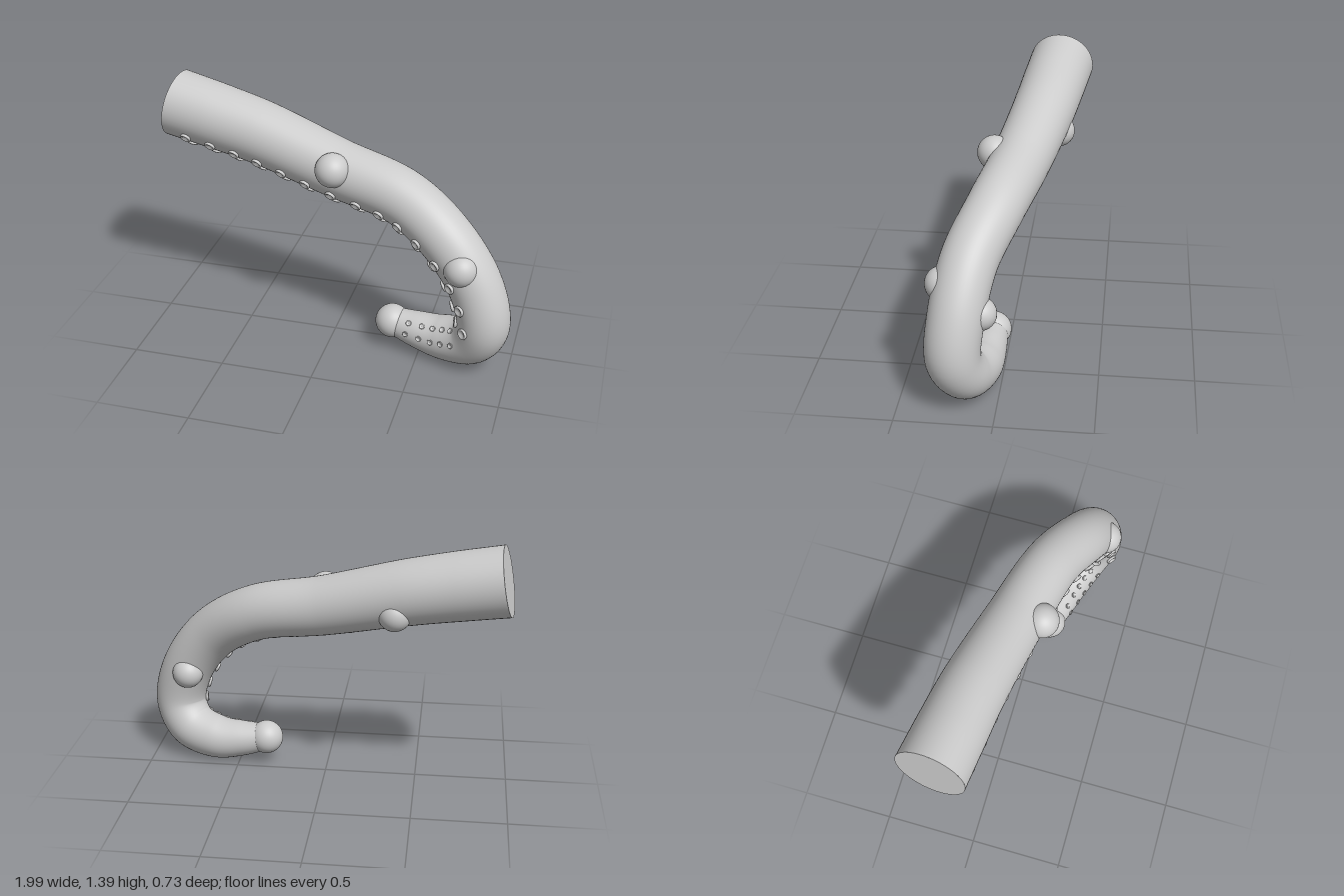
import * as THREE from 'three';

// Centreline stations: x, y, z, radius
const STATIONS = [
  [-0.95, 1.207, -0.183, 0.185],
  [-0.72, 1.165, -0.155, 0.181],
  [-0.45, 1.11, -0.12, 0.174],
  [0.0, 0.992, -0.035, 0.159],
  [0.39, 0.903, 0.055, 0.151],
  [0.65, 0.735, 0.155, 0.147],
  [0.81, 0.51, 0.2, 0.144],
  [0.858, 0.3, 0.212, 0.141],
  [0.79, 0.173, 0.165, 0.135],
  [0.63, 0.125, 0.11, 0.122],
  [0.48, 0.135, 0.085, 0.1],
  [0.36, 0.155, 0.07, 0.078],
];
const curve = new THREE.CatmullRomCurve3(STATIONS.map(([x, y, z]) => new THREE.Vector3(x, y, z)));
const FRONT = new THREE.Vector3(0, 0, 1);

// Position, radius and cross-section axes at curve parameter t
function frameAt(t) {
  const f = t * (STATIONS.length - 1);
  const i = Math.min(Math.floor(f), STATIONS.length - 2);
  const radius = THREE.MathUtils.lerp(STATIONS[i][3], STATIONS[i + 1][3], f - i);
  const tangent = curve.getTangent(t);
  const inner = new THREE.Vector3().crossVectors(tangent, FRONT).normalize();
  const side = new THREE.Vector3().crossVectors(inner, tangent).normalize();
  return { center: curve.getPoint(t), radius, tangent, inner, side };
}

// Outward direction, turned by angle from the inside of the curl to the front
function outward(frame, angle) {
  return frame.inner.clone().multiplyScalar(Math.cos(angle))
    .addScaledVector(frame.side, Math.sin(angle));
}

// Tapered limb swept along the centreline
function limbGeometry(rings, sides) {
  const pos = [], index = [];
  for (let i = 0; i <= rings; i++) {
    const f = frameAt(curve.getUtoTmapping(i / rings));
    for (let j = 0; j < sides; j++) {
      const p = outward(f, (j / sides) * Math.PI * 2).multiplyScalar(f.radius).add(f.center);
      pos.push(p.x, p.y, p.z);
      if (i < rings) {
        const a = i * sides + j, b = i * sides + (j + 1) % sides;
        index.push(a, a + sides, b, b, a + sides, b + sides);
      }
    }
  }
  const g = new THREE.BufferGeometry();
  g.setAttribute('position', new THREE.Float32BufferAttribute(pos, 3));
  g.setIndex(index);
  g.computeVertexNormals();
  return g;
}

export function createModel() {
  const group = new THREE.Group();
  const mat = new THREE.MeshStandardMaterial({ color: 0xcccccc, side: THREE.DoubleSide });
  const add = (name, geometry) => {
    const mesh = new THREE.Mesh(geometry, mat);
    mesh.name = name;
    group.add(mesh);
    return mesh;
  };

  add('limb', limbGeometry(140, 48));

  // Flat end at the thick root
  const root = frameAt(0);
  const cap = add('rootCap', new THREE.CircleGeometry(root.radius, 48));
  cap.position.copy(root.center);
  cap.quaternion.setFromUnitVectors(FRONT, root.tangent.clone().negate());

  // Round bumps on both sides, and the ball at the tip
  const ball = new THREE.SphereGeometry(1, 32, 24);
  const balls = [
    ['frontUpperBump', 0.01, 1.04, 0.102, 0.092],
    ['frontLowerBump', 0.735, 0.65, 0.275, 0.09],
    ['backUpperBump', -0.38, 1.015, -0.21, 0.088],
    ['backLowerBump', 0.785, 0.52, 0.085, 0.085],
    ['tipBall', 0.343, 0.157, 0.07, 0.093],
  ];
  for (const [name, x, y, z, r] of balls) {
    const mesh = add(name, ball);
    mesh.position.set(x, y, z);
    mesh.scale.setScalar(r);
  }

  // Cupped suckers in two rows along the inside of the curl
  const profile = [[0.024, -0.012], [0.03, 0.004], [0.031, 0.01], [0.027, 0.014],
    [0.021, 0.012], [0.013, 0.005], [0, 0.003]].map(([x, y]) => new THREE.Vector2(x, y));
  const cup = new THREE.LatheGeometry(profile, 20);
  const up = new THREE.Vector3(0, 1, 0);
  const length = curve.getLength();
  const addSucker = (name, distance, degrees, size) => {
    const f = frameAt(curve.getUtoTmapping(distance / length));
    const dir = outward(f, THREE.MathUtils.degToRad(degrees));
    const mesh = add(name, cup);
    mesh.position.copy(f.center).addScaledVector(dir, f.radius);
    mesh.quaternion.setFromUnitVectors(up, dir);
    mesh.scale.setScalar(size);
  };
  for (let i = 0; i < 15; i++) {
    addSucker('frontSucker', 0.14 + i * 0.1485, 52, 1);
    addSucker('innerSucker', 0.14 + i * 0.1485, 12, 1);
  }
  for (let i = 0; i < 5; i++) {
    addSucker('frontTipSucker', 0.855 * length + i * 0.08, 70 + i * 4, 0.5);
    addSucker('innerTipSucker', 0.855 * length + i * 0.08, 36 + i * 3, 0.5);
  }
  return group;
}
